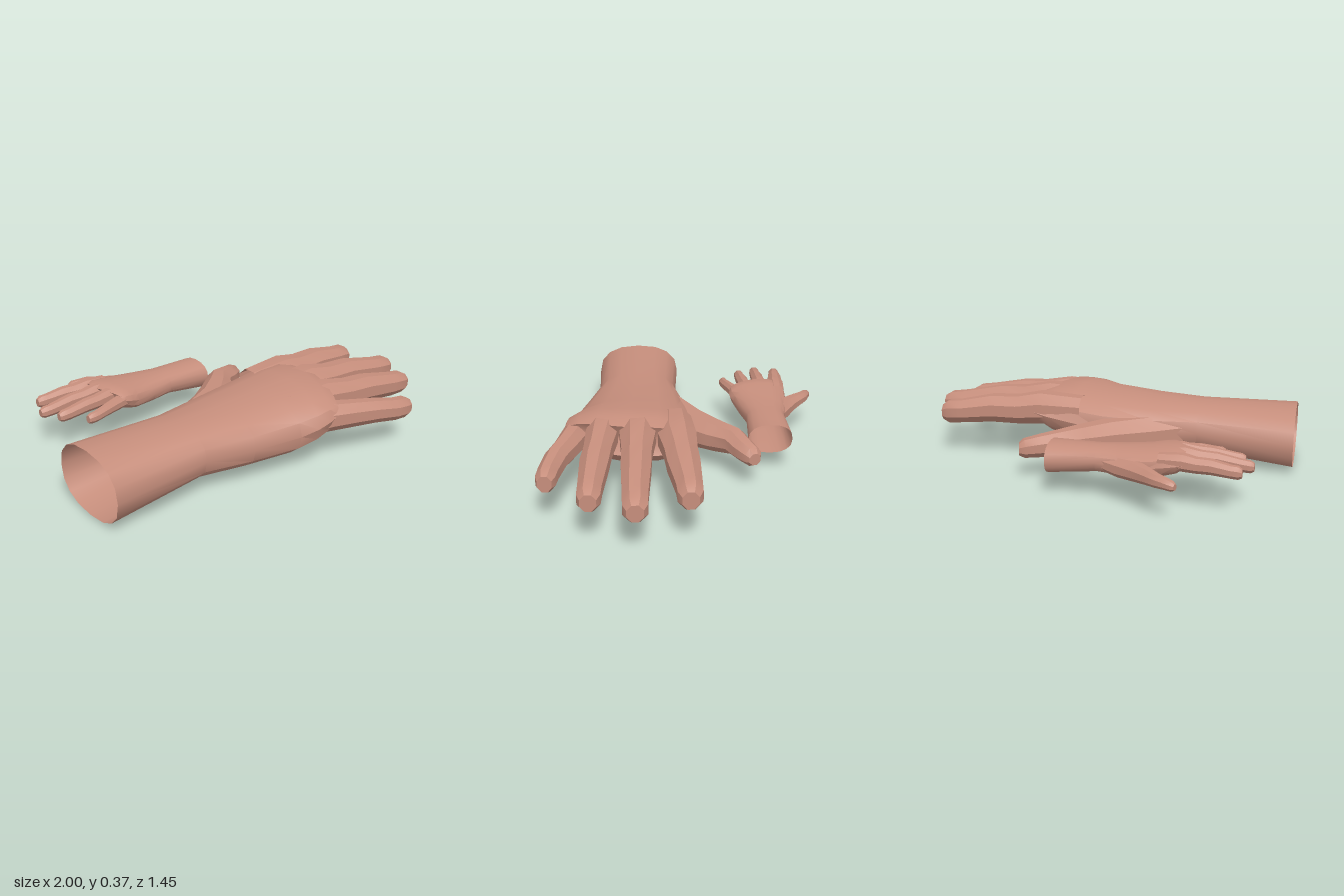
import * as THREE from 'three';
import { toCreasedNormals } from 'three/addons/utils/BufferGeometryUtils.js';

// Skin between successive cross-section loops, open at the start, fan cap at the end
function loft(rings, mirrored) {
  const n = rings[0].length, pos = [], idx = [];
  rings.forEach(r => r.forEach(p => pos.push(p.x, p.y, p.z)));
  const last = rings[rings.length - 1];
  const mid = last.reduce((s, p) => s.add(p), new THREE.Vector3()).divideScalar(n);
  pos.push(mid.x, mid.y, mid.z);
  const tri = (a, b, c) => (mirrored ? idx.push(a, c, b) : idx.push(a, b, c));
  for (let i = 0; i < rings.length - 1; i++) {
    for (let j = 0; j < n; j++) {
      const k = (j + 1) % n, a = i * n + j, b = i * n + k;
      tri(a, a + n, b);
      tri(b, a + n, b + n);
    }
  }
  const base = (rings.length - 1) * n;
  for (let j = 0; j < n; j++) tri(rings.length * n, base + (j + 1) % n, base + j);
  const g = new THREE.BufferGeometry();
  g.setAttribute('position', new THREE.Float32BufferAttribute(pos, 3));
  g.setIndex(idx);
  return toCreasedNormals(g, 0.6);
}

// Palm sections: x, inner z, outer z, top, bottom, backward slant on the outer side
const PALM = [
  [-1, 0.04, 0.52, 0.33, 0.005, 0],
  [-0.5, 0.06, 0.495, 0.325, 0.06, 0],
  [-0.25, 0.01, 0.55, 0.335, 0.05, 0],
  [0, -0.02, 0.6, 0.355, 0.05, 0],
  [0.17, -0.03, 0.635, 0.373, 0.09, 0.3],
  [0.29, -0.03, 0.64, 0.375, 0.13, 0.45],
  [0.36, -0.03, 0.635, 0.35, 0.19, 0.5],
];

function palmRings() {
  const n = 16, power = (v, e) => Math.sign(v) * Math.abs(v) ** e;
  return PALM.map(([x, z0, z1, top, bottom, slant]) => Array.from({ length: n }, (_, j) => {
    const a = (j / n) * Math.PI * 2;
    const z = (z0 + z1) / 2 + power(Math.cos(a), 0.85) * (z1 - z0) / 2;
    const y = (top + bottom) / 2 + power(Math.sin(a), 0.85) * (top - bottom) / 2;
    return new THREE.Vector3(x - slant * Math.max(0, z - 0.35), y, z);
  }));
}

// Finger sections: x, y, z of the centre, half width, half height
const DIGITS = {
  thumb: [
    [-0.45, 0.19, 0.14, 0.07, 0.08], [-0.25, 0.17, 0.09, 0.11, 0.1],
    [-0.05, 0.17, -0.03, 0.1, 0.09], [0.08, 0.175, -0.15, 0.08, 0.075],
    [0.16, 0.18, -0.235, 0.065, 0.065], [0.25, 0.172, -0.275, 0.058, 0.055],
    [0.32, 0.165, -0.313, 0.047, 0.047], [0.345, 0.16, -0.322, 0.03, 0.03],
  ],
  indexFinger: [
    [0.12, 0.28, 0.07, 0.08, 0.07], [0.35, 0.28, 0.065, 0.094, 0.085],
    [0.48, 0.265, 0.05, 0.08, 0.075], [0.62, 0.265, 0.04, 0.077, 0.073],
    [0.8, 0.24, 0.02, 0.06, 0.062], [0.87, 0.235, 0.017, 0.057, 0.062],
    [0.905, 0.23, 0.016, 0.038, 0.042],
  ],
  middleFinger: [
    [0.12, 0.29, 0.26, 0.08, 0.07], [0.35, 0.29, 0.258, 0.088, 0.085],
    [0.5, 0.27, 0.26, 0.072, 0.075], [0.65, 0.265, 0.26, 0.07, 0.072],
    [0.87, 0.23, 0.26, 0.058, 0.062], [0.96, 0.222, 0.258, 0.056, 0.058],
    [0.995, 0.22, 0.257, 0.038, 0.04],
  ],
  ringFinger: [
    [0.05, 0.28, 0.42, 0.07, 0.07], [0.3, 0.28, 0.435, 0.078, 0.082],
    [0.45, 0.262, 0.447, 0.067, 0.073], [0.58, 0.258, 0.455, 0.068, 0.07],
    [0.78, 0.228, 0.464, 0.055, 0.062], [0.86, 0.222, 0.465, 0.053, 0.057],
    [0.895, 0.22, 0.465, 0.037, 0.04],
  ],
  littleFinger: [
    [0, 0.23, 0.52, 0.06, 0.06], [0.2, 0.245, 0.568, 0.068, 0.072],
    [0.34, 0.235, 0.608, 0.058, 0.066], [0.46, 0.23, 0.648, 0.054, 0.06],
    [0.58, 0.212, 0.673, 0.049, 0.056], [0.645, 0.208, 0.678, 0.047, 0.054],
    [0.678, 0.206, 0.68, 0.034, 0.04],
  ],
};

// Eight-sided sections set square to the finger's course
function digitRings(path) {
  const n = 8, grow = 1 / Math.cos(Math.PI / n);
  return path.map(([x, y, z, w, h], i) => {
    const p = path[Math.max(0, i - 1)], q = path[Math.min(path.length - 1, i + 1)];
    const dx = q[0] - p[0], dz = q[2] - p[2], len = Math.hypot(dx, dz);
    return Array.from({ length: n }, (_, j) => {
      const a = ((j + 0.5) / n) * Math.PI * 2;
      const side = Math.cos(a) * w * grow, up = Math.sin(a) * h * grow;
      return new THREE.Vector3(x - (dz / len) * side, y + up, z + (dx / len) * side);
    });
  });
}

function makeHand(name, material, place, mirrored) {
  const hand = new THREE.Group();
  hand.name = name;
  const add = (part, rings) => {
    rings.forEach(r => r.forEach(place));
    const mesh = new THREE.Mesh(loft(rings, mirrored), material);
    mesh.name = part;
    hand.add(mesh);
  };
  add('palmAndForearm', palmRings());
  for (const [part, path] of Object.entries(DIGITS)) add(part, digitRings(path));
  return hand;
}

export function createModel() {
  const skin = new THREE.MeshStandardMaterial({ color: 0xc68e7c, side: THREE.DoubleSide });
  skin.name = 'skin';
  const model = new THREE.Group();
  model.name = 'pairOfHands';
  model.add(makeHand('largeHand', skin, p => p, false));
  // Half-size partner, mirrored to point the other way
  model.add(makeHand('smallHand', skin,
    p => p.set(-0.355 - 0.495 * p.x, 0.1 + 0.48 * p.y, -0.557 + 0.48 * p.z), true));
  return model;
}
